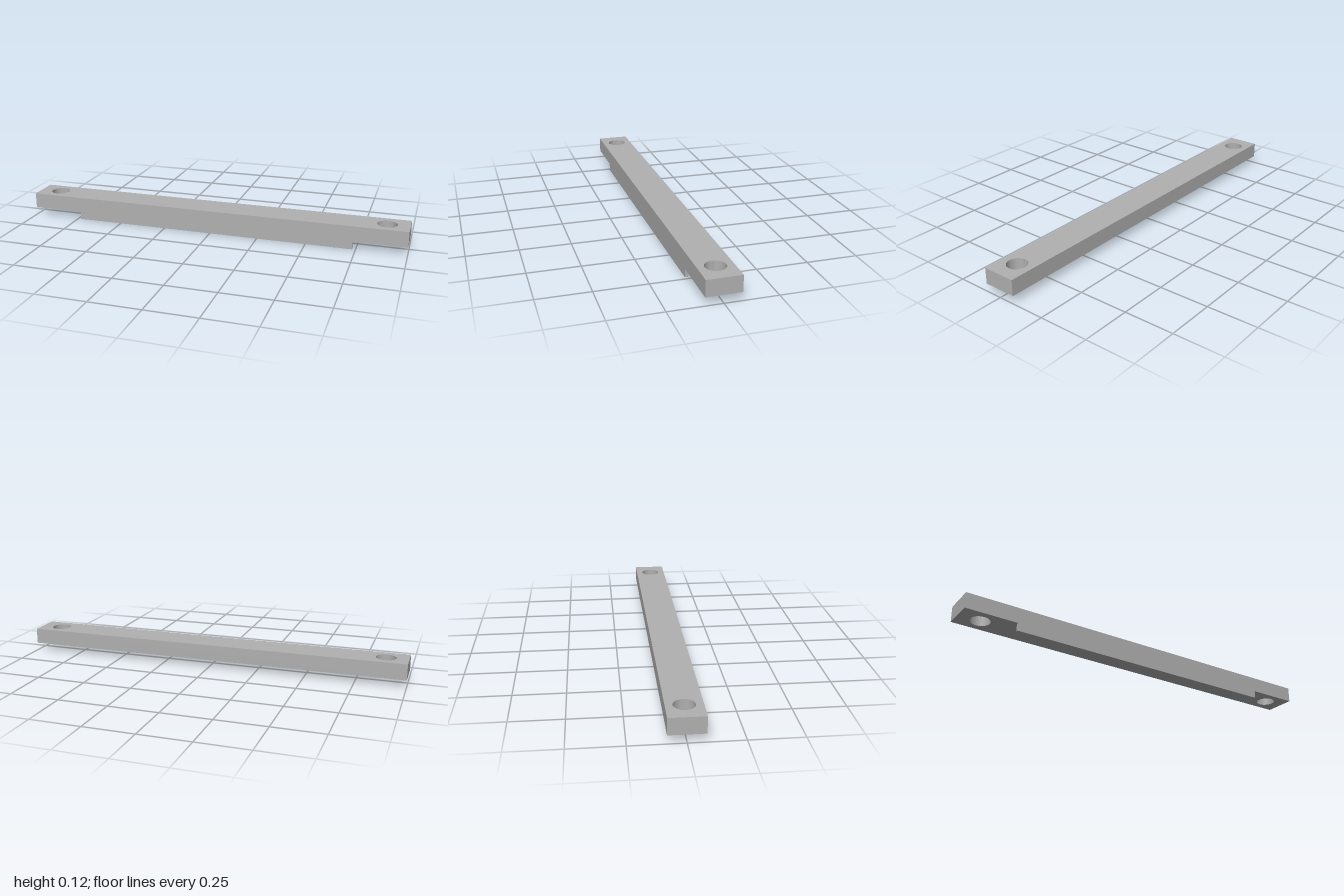
import * as THREE from 'three';
import { toCreasedNormals } from 'three/addons/utils/BufferGeometryUtils.js';

const LENGTH = 2, DEPTH = 0.166;
const LIP_HEIGHT = 0.04, BAR_HEIGHT = 0.08;
const LIP_LENGTH = 1.466, LIP_DEPTH = 0.016;
const HOLE_X = 0.889, HOLE_RADIUS = 0.049;

export function createModel() {
  const group = new THREE.Group();
  group.name = 'mountingBar';
  const metal = new THREE.MeshStandardMaterial({ color: 0xb0b0b0 });
  metal.name = 'grey metal';

  // Bar with a through hole near each end
  const outline = new THREE.Shape([
    new THREE.Vector2(-LENGTH / 2, -DEPTH / 2),
    new THREE.Vector2(LENGTH / 2, -DEPTH / 2),
    new THREE.Vector2(LENGTH / 2, DEPTH / 2),
    new THREE.Vector2(-LENGTH / 2, DEPTH / 2),
  ]);
  for (const side of [-1, 1]) {
    outline.holes.push(new THREE.Path().absarc(side * HOLE_X, 0, HOLE_RADIUS, 0, Math.PI * 2, true));
  }
  const barGeometry = new THREE.ExtrudeGeometry(outline, {
    depth: BAR_HEIGHT, bevelEnabled: false, curveSegments: 48,
  });
  barGeometry.rotateX(-Math.PI / 2);
  const bar = new THREE.Mesh(toCreasedNormals(barGeometry, 0.5), metal);
  bar.name = 'bar';
  bar.position.y = LIP_HEIGHT;
  group.add(bar);

  // Thin lip hanging below the front edge
  const lip = new THREE.Mesh(new THREE.BoxGeometry(LIP_LENGTH, LIP_HEIGHT, LIP_DEPTH), metal);
  lip.name = 'frontLip';
  lip.position.set(0, LIP_HEIGHT / 2, DEPTH / 2 - LIP_DEPTH / 2);
  group.add(lip);

  return group;
}
